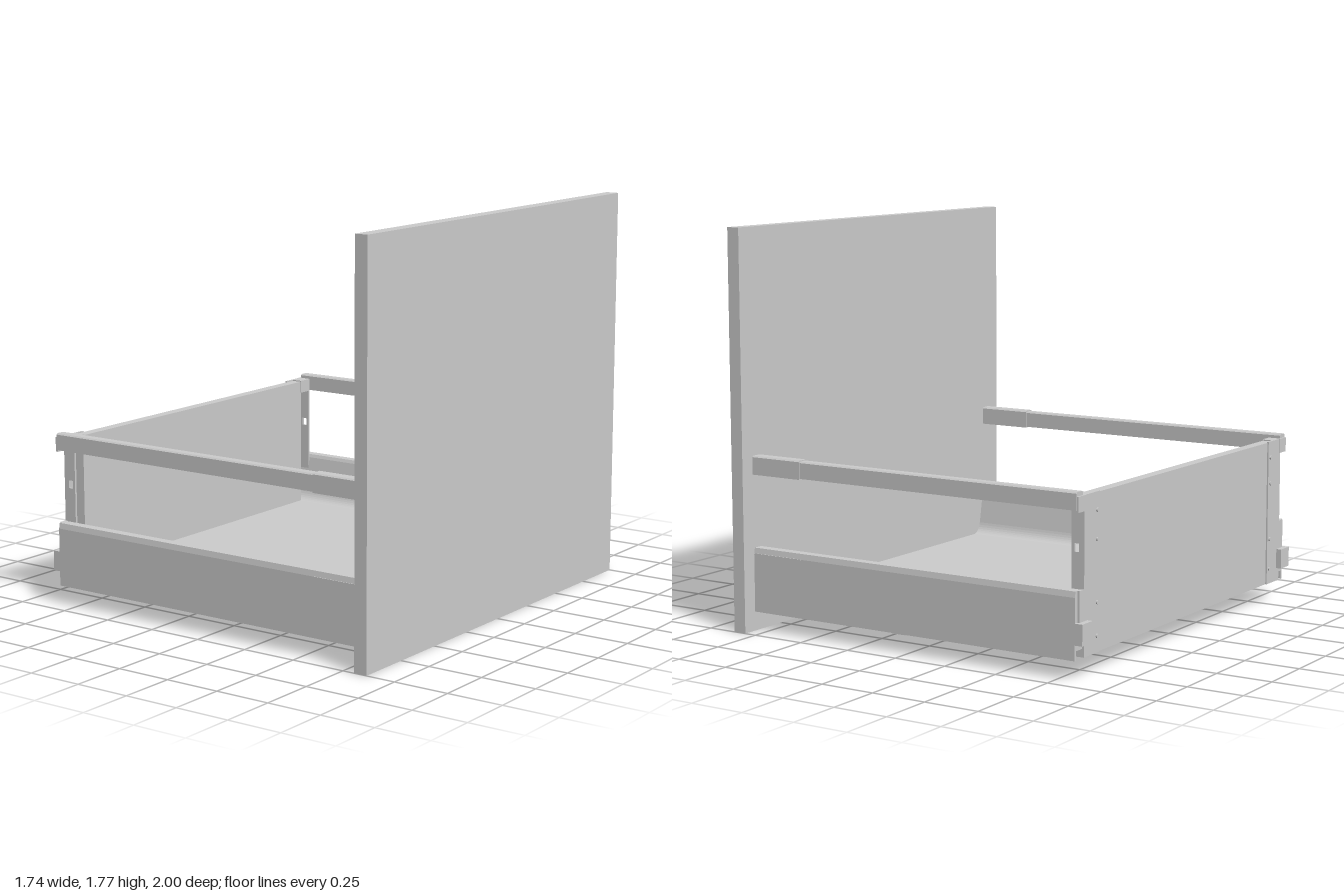
import * as THREE from 'three';

const grey = new THREE.MeshStandardMaterial({ color: 0xcccccc, flatShading: true, side: THREE.DoubleSide });

// Box given by its lower and upper limits on each axis
function box(parent, name, [x0, x1], [y0, y1], [z0, z1]) {
  const mesh = new THREE.Mesh(new THREE.BoxGeometry(x1 - x0, y1 - y0, z1 - z0), grey);
  mesh.position.set((x0 + x1) / 2, (y0 + y1) / 2, (z0 + z1) / 2);
  mesh.name = name;
  parent.add(mesh);
  return mesh;
}

// Cross-section in (z, y), drawn out along x from x0 to x1
function extrudeX(parent, name, shape, x0, x1) {
  const geometry = new THREE.ExtrudeGeometry(shape, { depth: x1 - x0, bevelEnabled: false, curveSegments: 8 });
  geometry.rotateY(-Math.PI / 2); // shape x -> z, extrusion -> -x
  geometry.translate(x1, 0, 0);
  const mesh = new THREE.Mesh(geometry, grey);
  mesh.name = name;
  parent.add(mesh);
}

// Drawer side: thin outer skin, sloping inner face with a curved foot, open runner channel below
function sideProfile() {
  const s = new THREE.Shape();
  s.moveTo(0.93, 0.085);
  s.lineTo(0.93, 0.345);
  s.lineTo(0.925, 0.37);
  s.lineTo(0.882, 0.37);
  s.lineTo(0.875, 0.355);
  s.lineTo(0.848, 0.21);
  s.quadraticCurveTo(0.84, 0.155, 0.8, 0.145);
  s.lineTo(0.8, 0.1);
  s.lineTo(0.845, 0.1);
  s.lineTo(0.845, 0.125);
  s.lineTo(0.92, 0.125);
  s.lineTo(0.92, 0.085);
  return s;
}

function railProfile(grow) {
  const s = new THREE.Shape();
  const [z0, z1, y0, y1] = [0.88 - grow, 0.927 + grow, 0.698 - grow, 0.773 + grow];
  s.moveTo(z0, y0);
  s.lineTo(z1, y0);
  s.lineTo(z1, y1 - 0.006);
  s.lineTo(z1 - 0.006, y1);
  s.lineTo(z0 + 0.006, y1);
  s.lineTo(z0, y1 - 0.006);
  return s;
}

// Upright bracket face with a small slot
function bracketFace(parent) {
  const s = new THREE.Shape();
  s.moveTo(-0.835, 0.09);
  s.lineTo(-0.785, 0.09);
  s.lineTo(-0.785, 0.7);
  s.lineTo(-0.835, 0.7);
  const hole = new THREE.Path();
  hole.moveTo(-0.82, 0.52);
  hole.lineTo(-0.82, 0.555);
  hole.lineTo(-0.798, 0.555);
  hole.lineTo(-0.798, 0.52);
  s.holes.push(hole);
  const mesh = new THREE.Mesh(new THREE.ExtrudeGeometry(s, { depth: 0.01, bevelEnabled: false }), grey);
  mesh.position.z = 0.865;
  mesh.name = 'bracketFace';
  parent.add(mesh);
}

function buildSide(name) {
  const side = new THREE.Group();
  side.name = name;
  extrudeX(side, 'sideWall', sideProfile(), -0.835, 0.805);
  extrudeX(side, 'rail', railProfile(0), -0.84, 0.55);
  extrudeX(side, 'railSleeve', railProfile(0.004), 0.55, 0.805);
  box(side, 'sideCoverEdge', [0.55, 0.805], [0.34, 0.346], [0.925, 0.933]);

  // Rear bracket holding the back board
  bracketFace(side);
  box(side, 'bracketPlate', [-0.845, -0.835], [0.09, 0.755], [0.755, 0.875]);
  box(side, 'bracketTop', [-0.84, -0.785], [0.695, 0.755], [0.805, 0.875]);
  box(side, 'railHolder', [-0.848, -0.835], [0.69, 0.755], [0.865, 0.925]);
  box(side, 'rearHook', [-0.87, -0.83], [0.15, 0.24], [0.85, 0.93]);
  box(side, 'rearHookWeb', [-0.845, -0.835], [0.24, 0.37], [0.85, 0.91]);
  for (const y of [0.16, 0.3, 0.56, 0.68]) {
    const screw = new THREE.Mesh(new THREE.CylinderGeometry(0.009, 0.009, 0.006, 12), grey);
    screw.rotation.z = Math.PI / 2;
    screw.position.set(-0.848, y, 0.775);
    screw.name = 'screw';
    side.add(screw);
  }

  // Runner catches under the channel
  for (const [x0, x1, y0] of [[-0.05, 0.015, 0.077], [0.03, 0.1, 0.07], [0.485, 0.5, 0.08], [0.56, 0.61, 0.077]]) {
    box(side, 'runnerCatch', [x0, x1], [y0, 0.125], [0.86, 0.885]);
  }
  return side;
}

export function createModel() {
  const model = new THREE.Group();
  model.name = 'drawer';

  box(model, 'frontPanel', [0.805, 0.865], [0, 1.77], [-1, 1]);
  box(model, 'floor', [-0.835, 0.805], [0.09, 0.145], [-0.84, 0.84]);
  box(model, 'backPanel', [-0.838, -0.79], [0.09, 0.75], [-0.81, 0.81]);

  // The second side is the first one reflected in z
  const near = buildSide('nearSide');
  const far = buildSide('farSide');
  far.scale.z = -1;
  model.add(near, far);
  return model;
}
